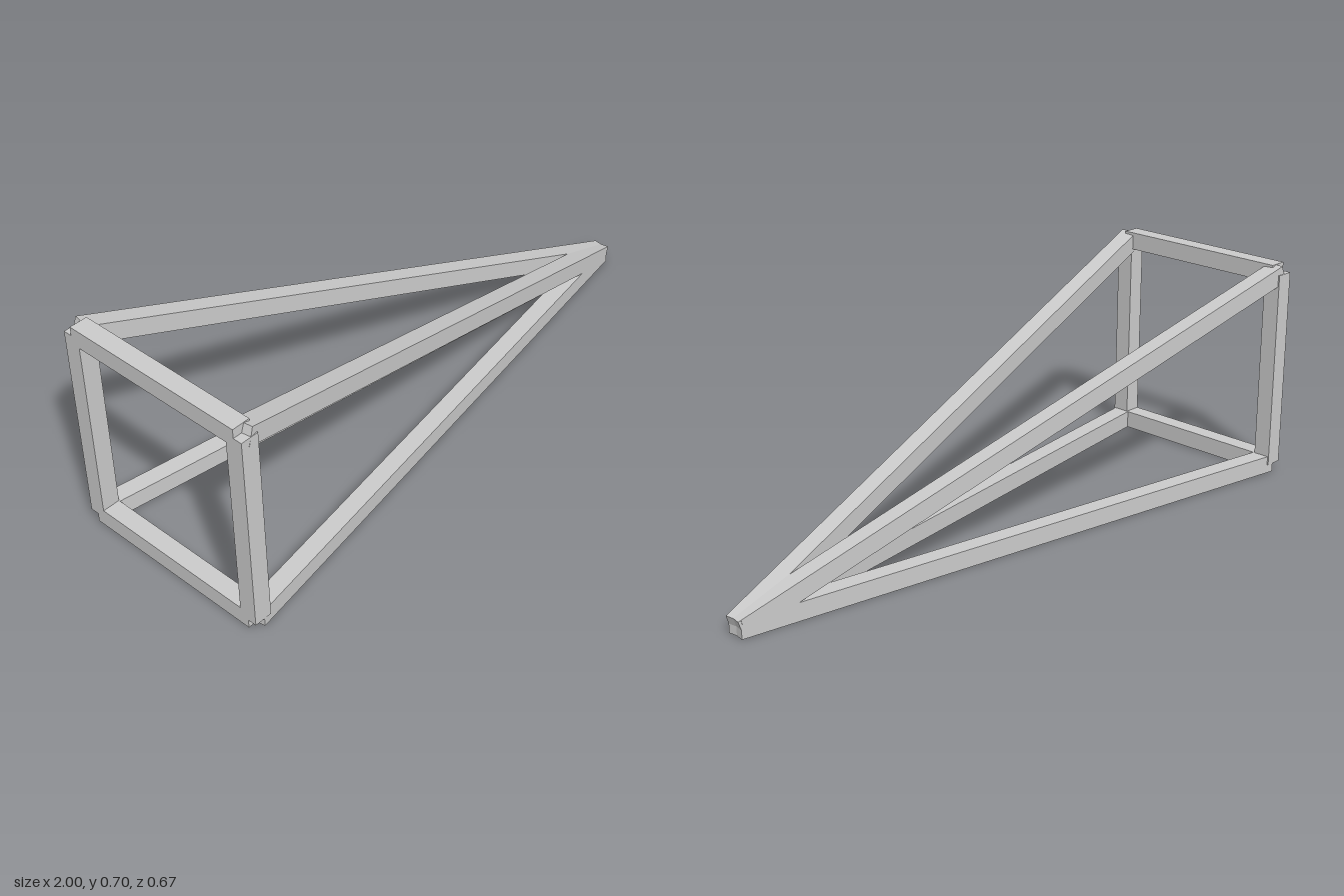
import * as THREE from 'three';

const BAR = 0.057; // side of the square section

export function createModel() {
  const model = new THREE.Group();
  const material = new THREE.MeshStandardMaterial({ color: 0xcccccc, flatShading: true });

  // Square bar running between the centres of two joints
  function addBar(name, from, to) {
    const bar = new THREE.Mesh(new THREE.BoxGeometry(BAR, BAR, from.distanceTo(to)), material);
    bar.name = name;
    bar.position.copy(from).add(to).multiplyScalar(0.5);
    bar.lookAt(to);
    model.add(bar);
  }

  const low = BAR / 2, high = 0.6765, backX = -0.9715, halfZ = 0.3065;
  const corner = (y, z) => new THREE.Vector3(backX, y, z);
  const apex = new THREE.Vector3(0.987, low, 0);

  // Crossbars of the rectangular frame
  addBar('lowerCrossbar', corner(low, -halfZ), corner(low, halfZ));
  addBar('upperCrossbar', corner(high, -halfZ), corner(high, halfZ));

  // Posts and the bars converging on the tip
  for (const [side, z] of [['front', halfZ], ['back', -halfZ]]) {
    addBar(side + 'Post', corner(low, z), corner(high, z));
    addBar(side + 'LowerBar', corner(low, z), apex);
    addBar(side + 'SlopingBar', corner(high, z), apex);
  }
  return model;
}
